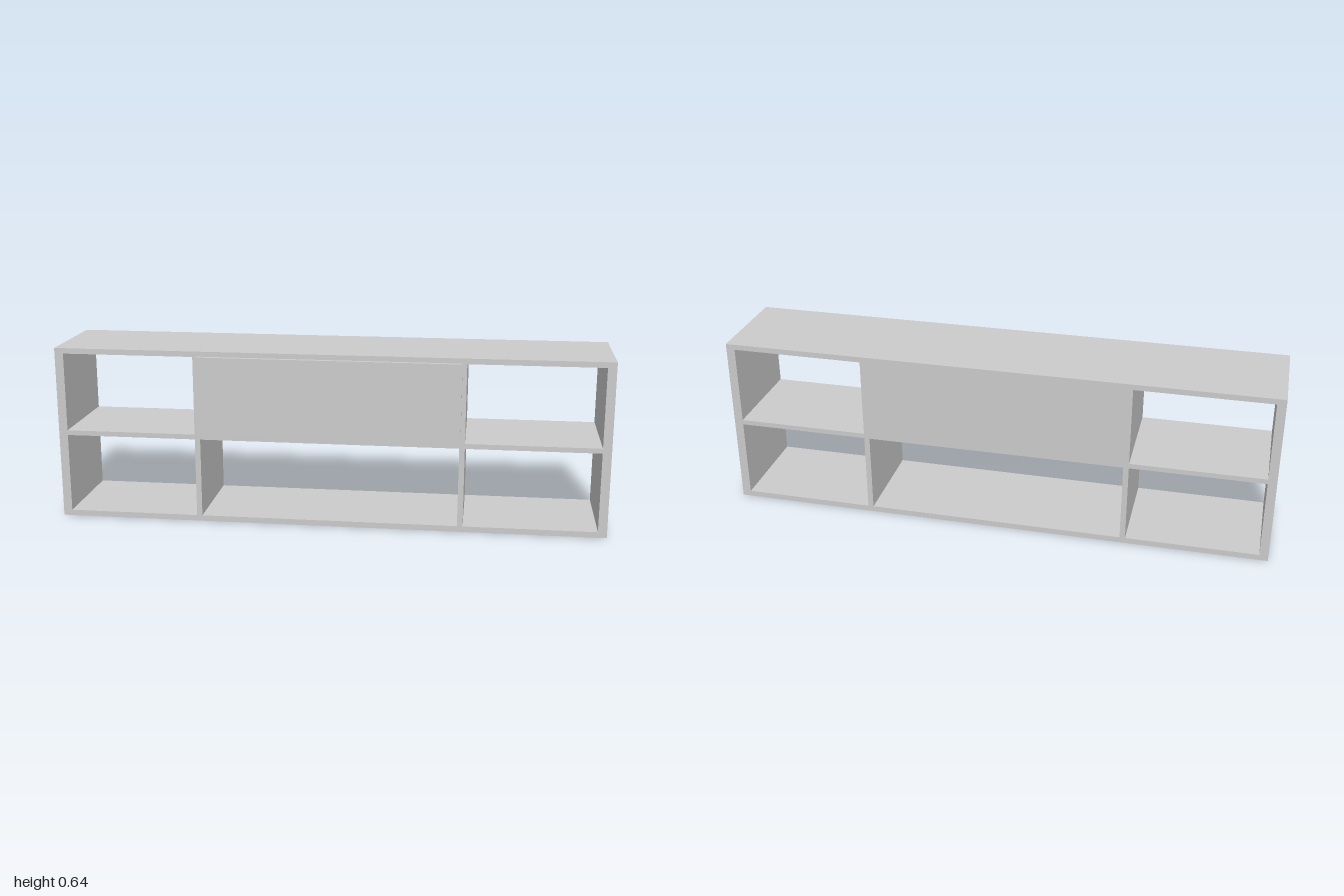
import * as THREE from 'three';

const material = new THREE.MeshStandardMaterial({ color: 0xcccccc });

// Box given by its minimum and maximum corners
function board(name, [x0, y0, z0], [x1, y1, z1]) {
  const geometry = new THREE.BoxGeometry(x1 - x0, y1 - y0, z1 - z0);
  geometry.translate((x0 + x1) / 2, (y0 + y1) / 2, (z0 + z1) / 2);
  const mesh = new THREE.Mesh(geometry, material);
  mesh.name = name;
  return mesh;
}

export function createModel() {
  const group = new THREE.Group();
  group.name = 'shelfUnit';

  const back = -0.191, front = 0.174, doorFront = 0.191;
  const height = 0.638, inner = 0.968;
  const bottomTop = 0.021, shelfBottom = 0.312, shelfTop = 0.33, topBottom = 0.618;
  const divIn = 0.469, divOut = 0.489;

  // Horizontal boards between the sides
  group.add(board('bottomBoard', [-inner, 0, back], [inner, bottomTop, front]));
  group.add(board('middleShelf', [-inner, shelfBottom, back], [inner, shelfTop, front]));
  group.add(board('topBoard', [-inner, topBottom, back], [inner, height, front]));

  // Sides and dividers, mirrored left and right
  for (const [side, s] of [['left', 1], ['right', -1]]) {
    const upright = (name, a, b, y0, y1) =>
      group.add(board(side + name, [Math.min(s * a, s * b), y0, back], [Math.max(s * a, s * b), y1, front]));
    upright('Side', inner, 1, 0, height);
    upright('LowerDivider', divIn, divOut, bottomTop, shelfBottom);
    upright('UpperDivider', divIn, divOut, shelfTop, topBottom);
  }

  // Closed upper middle compartment: flush back panel and proud door
  group.add(board('backPanel', [-divIn, shelfTop, back], [divIn, topBottom, back + 0.018]));
  group.add(board('door', [-0.473, 0.329, front + 0.001], [0.473, 0.62, doorFront]));

  return group;
}
